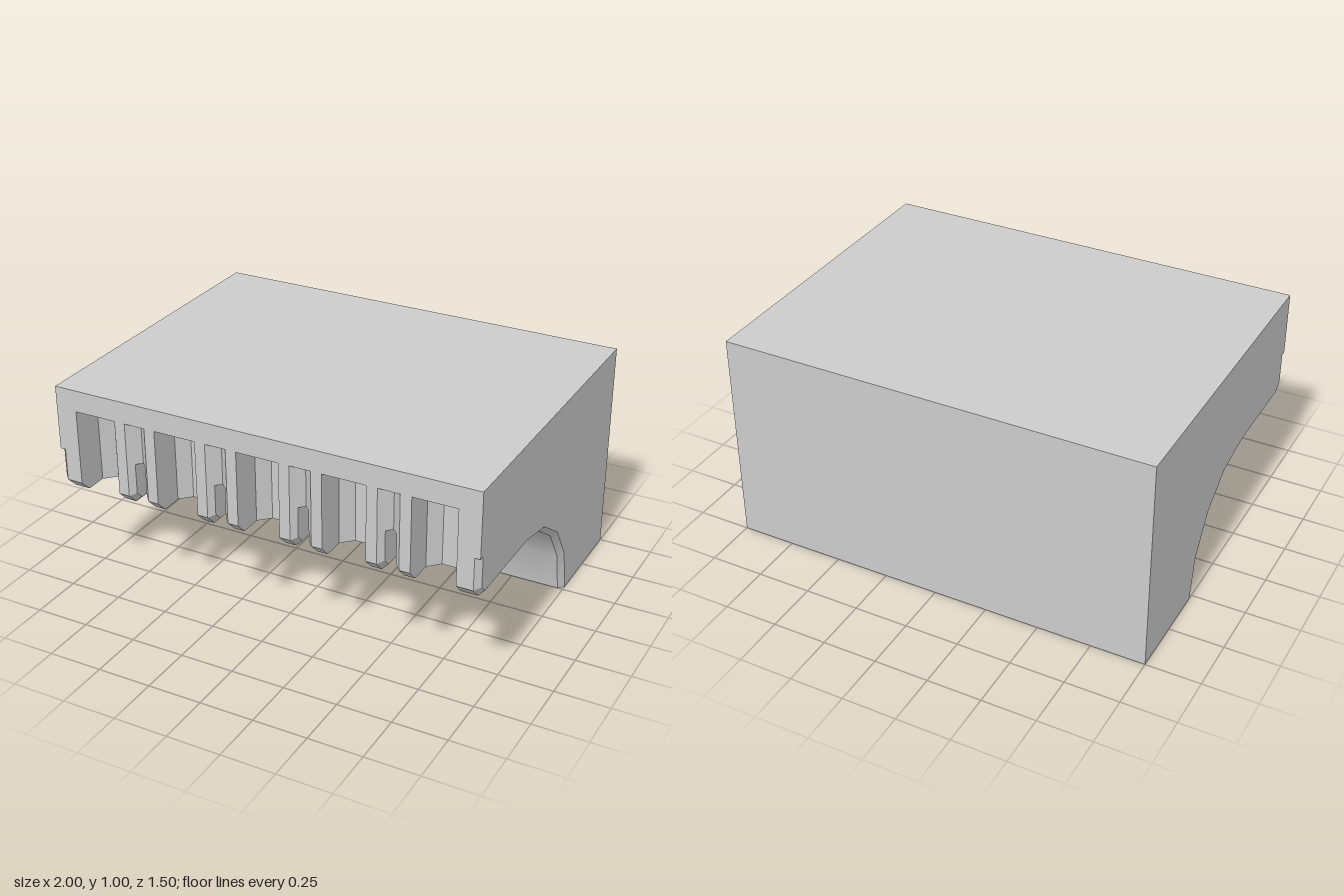
import * as THREE from 'three';
import { toCreasedNormals } from 'three/addons/utils/BufferGeometryUtils.js';

const ARCH_STEPS = 4, BEVEL = 0.025;

// Cross-section (z, y): niche = front recess depth, bevel = edge offset, slot = deep groove
function section({ niche = 0, bevel = 0, slot = false }) {
  const r = slot ? 0.7 : 0.5 + bevel;
  const front = 0.75 - niche;
  const lower = Math.min(front, 0.75 - bevel);
  const slant = bevel * Math.SQRT2;
  const pts = [
    [-0.75, 0], [-0.75, 1], [0.75, 1], [0.75, 0.9],
    [front, 0.9], [front, 0.7], [lower, 0.7],
    [lower, Math.max(r, lower - 0.2 + slant)], // chamfered front lip
    [Math.min(lower, r + 0.2 - slant), r],
  ];
  // quarter arch from the ceiling down to the ground
  for (let i = 0; i <= ARCH_STEPS; i++) {
    const a = (i / ARCH_STEPS) * Math.PI / 2;
    pts.push([0.25 - r * Math.sin(a), r * Math.cos(a)]);
  }
  return pts;
}

function buildStations() {
  const stations = [];
  const add = (x, options = {}) => stations.push({ x, pts: section(options) });
  add(-1, { bevel: BEVEL });
  add(-1 + BEVEL);
  for (let i = 0; i < 5; i++) {
    // wide niche with bevelled back corners
    const c = -0.8 + 0.4 * i;
    add(c - 0.1);
    add(c - 0.1, { niche: 0.15 });
    add(c - 0.05, { niche: 0.2 });
    add(c + 0.05, { niche: 0.2 });
    add(c + 0.1, { niche: 0.15 });
    add(c + 0.1);
    if (i === 4) break;
    // V-shaped joint with a bevelled deep slot
    const s = c + 0.2;
    add(s - 0.05);
    add(s - 0.025, { niche: 0.025, bevel: BEVEL });
    add(s - 0.025, { niche: 0.025, slot: true });
    add(s, { niche: 0.05, slot: true });
    add(s + 0.025, { niche: 0.025, slot: true });
    add(s + 0.025, { niche: 0.025, bevel: BEVEL });
    add(s + 0.05);
  }
  add(1 - BEVEL);
  add(1, { bevel: BEVEL });
  return stations;
}

function loft(stations) {
  const positions = [];
  const tri = (a, b, c) => {
    const area = b.clone().sub(a).cross(c.clone().sub(a)).length();
    if (area > 1e-8) for (const p of [a, b, c]) positions.push(p.x, p.y, p.z);
  };
  const rings = stations.map(({ x, pts }) => pts.map(([z, y]) => new THREE.Vector3(x, y, z)));

  // skin between neighbouring sections
  for (let k = 0; k + 1 < rings.length; k++) {
    const a = rings[k], b = rings[k + 1];
    for (let i = 0; i < a.length; i++) {
      const j = (i + 1) % a.length;
      tri(a[i], a[j], b[i]);
      tri(b[i], a[j], b[j]);
    }
  }

  // flat end faces
  for (const [ring, side] of [[rings[0], -1], [rings[rings.length - 1], 1]]) {
    const outline = ring.map((p) => new THREE.Vector2(p.z, p.y));
    for (const [i, j, k] of THREE.ShapeUtils.triangulateShape(outline, [])) {
      const [a, b, c] = [ring[i], ring[j], ring[k]];
      const nx = b.clone().sub(a).cross(c.clone().sub(a)).x;
      if (nx * side > 0) tri(a, b, c);
      else tri(a, c, b);
    }
  }

  const geometry = new THREE.BufferGeometry();
  geometry.setAttribute('position', new THREE.Float32BufferAttribute(positions, 3));
  return toCreasedNormals(geometry, 0.5);
}

export function createModel() {
  const group = new THREE.Group();
  group.name = 'archedLedgeBlock';
  const block = new THREE.Mesh(
    loft(buildStations()),
    new THREE.MeshStandardMaterial({ color: 0xcccccc }),
  );
  block.name = 'ribbedBlock';
  group.add(block);
  return group;
}
